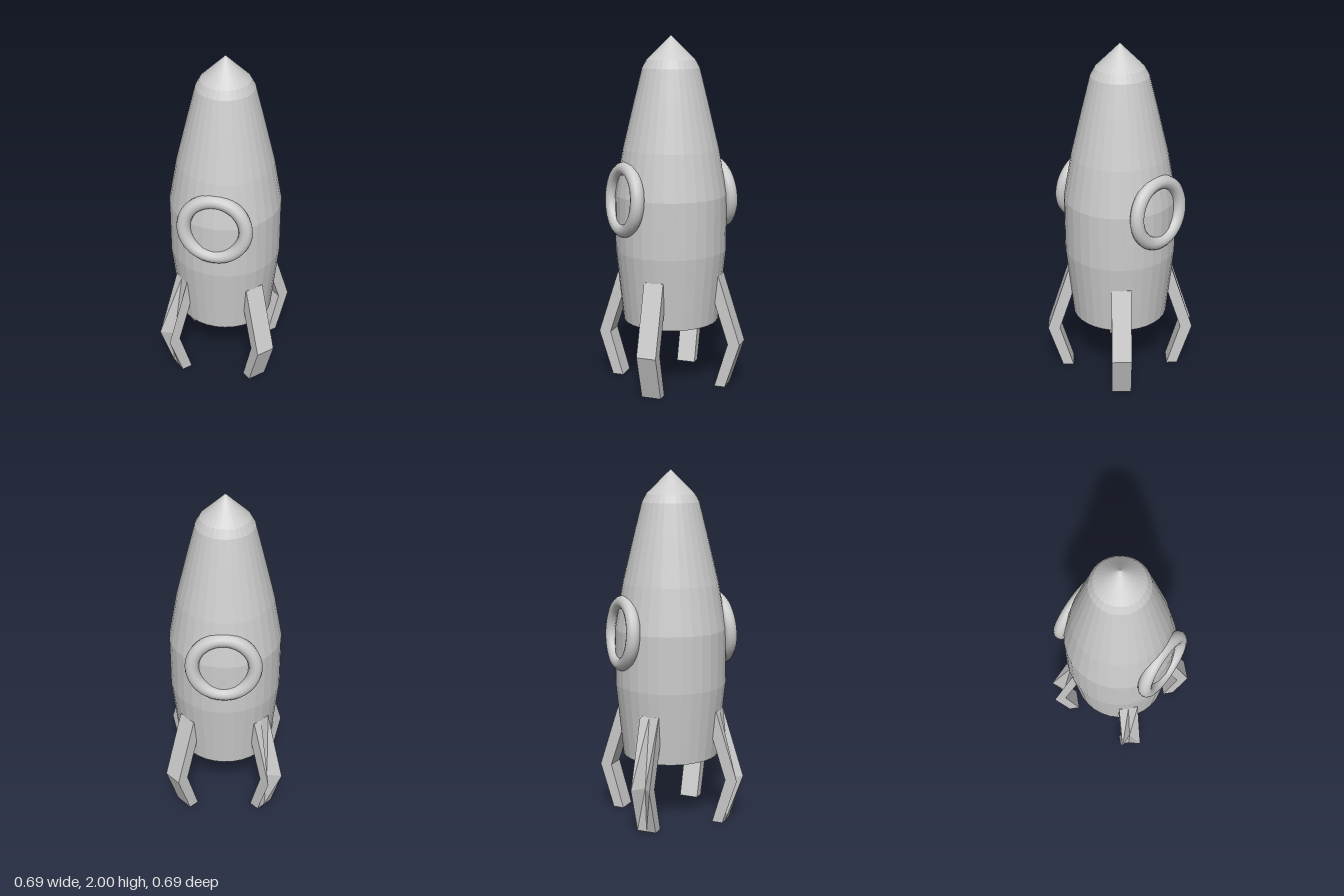
import * as THREE from 'three';

const flat = new THREE.MeshStandardMaterial({ color: 0xcccccc, flatShading: true });
const smooth = new THREE.MeshStandardMaterial({ color: 0xcccccc });

function add(parent, name, geometry, material) {
  const mesh = new THREE.Mesh(geometry, material);
  mesh.name = name;
  parent.add(mesh);
  return mesh;
}

// Bent leg pointing along +z, lofted through three sections; a grooved leg is
// pinched in along the middle of its outer face at the knee.
function legGeometry(grooved) {
  const w = 0.056;
  const sections = [ // y, inner radius, outer radius, radius at middle of outer face
    [0, 0.283, 0.346, 0.346],
    [0.26, 0.36, 0.43, grooved ? 0.362 : 0.43],
    [0.655, 0.23, 0.302, 0.302],
  ];
  const positions = [];
  const index = [];
  for (const [y, inner, outer, mid] of sections) {
    positions.push(w, y, inner, -w, y, inner, -w, y, outer, 0, y, mid, w, y, outer);
  }
  const n = 5;
  for (let s = 0; s < sections.length - 1; s++) {
    for (let i = 0; i < n; i++) {
      const a = s * n + i;
      const b = s * n + (i + 1) % n;
      index.push(a, b, b + n, a, b + n, a + n);
    }
  }
  // End caps, fanned from the middle of the outer face
  const top = (sections.length - 1) * n;
  for (let k = 1; k < n - 1; k++) {
    const i = (3 + k) % n;
    const j = (4 + k) % n;
    index.push(3, j, i, top + 3, top + i, top + j);
  }
  const geometry = new THREE.BufferGeometry();
  geometry.setAttribute('position', new THREE.Float32BufferAttribute(positions, 3));
  geometry.setIndex(index);
  geometry.computeVertexNormals();
  return geometry;
}

export function createModel() {
  const model = new THREE.Group();
  model.name = 'rocket';

  // Hull with closed base and pointed nose
  const profile = [
    [0, 0.375], [0.275, 0.375], [0.318, 0.79], [0.318, 1.11], [0.272, 1.37],
    [0.207, 1.64], [0.162, 1.82], [0.137, 1.865], [0, 2],
  ].map(([r, y]) => new THREE.Vector2(r, y));
  add(model, 'hull', new THREE.LatheGeometry(profile, 32), flat);

  // Porthole rings, front and back, leaning with the hull
  const ring = new THREE.TorusGeometry(0.174, 0.039, 12, 40);
  ring.rotateX(-0.08);
  ring.translate(0, 1.095, 0.292);
  add(model, 'frontPortholeRing', ring, smooth);
  add(model, 'backPortholeRing', ring, smooth).rotation.y = Math.PI;

  // Four diagonal legs; the two on the -x side are grooved
  const plain = legGeometry(false);
  const grooved = legGeometry(true);
  const names = ['frontLeftLeg', 'backLeftLeg', 'backRightLeg', 'frontRightLeg'];
  names.forEach((name, i) => {
    const leg = add(model, name, i < 2 ? plain : grooved, flat);
    leg.rotation.y = Math.PI / 4 + i * Math.PI / 2;
  });

  return model;
}
